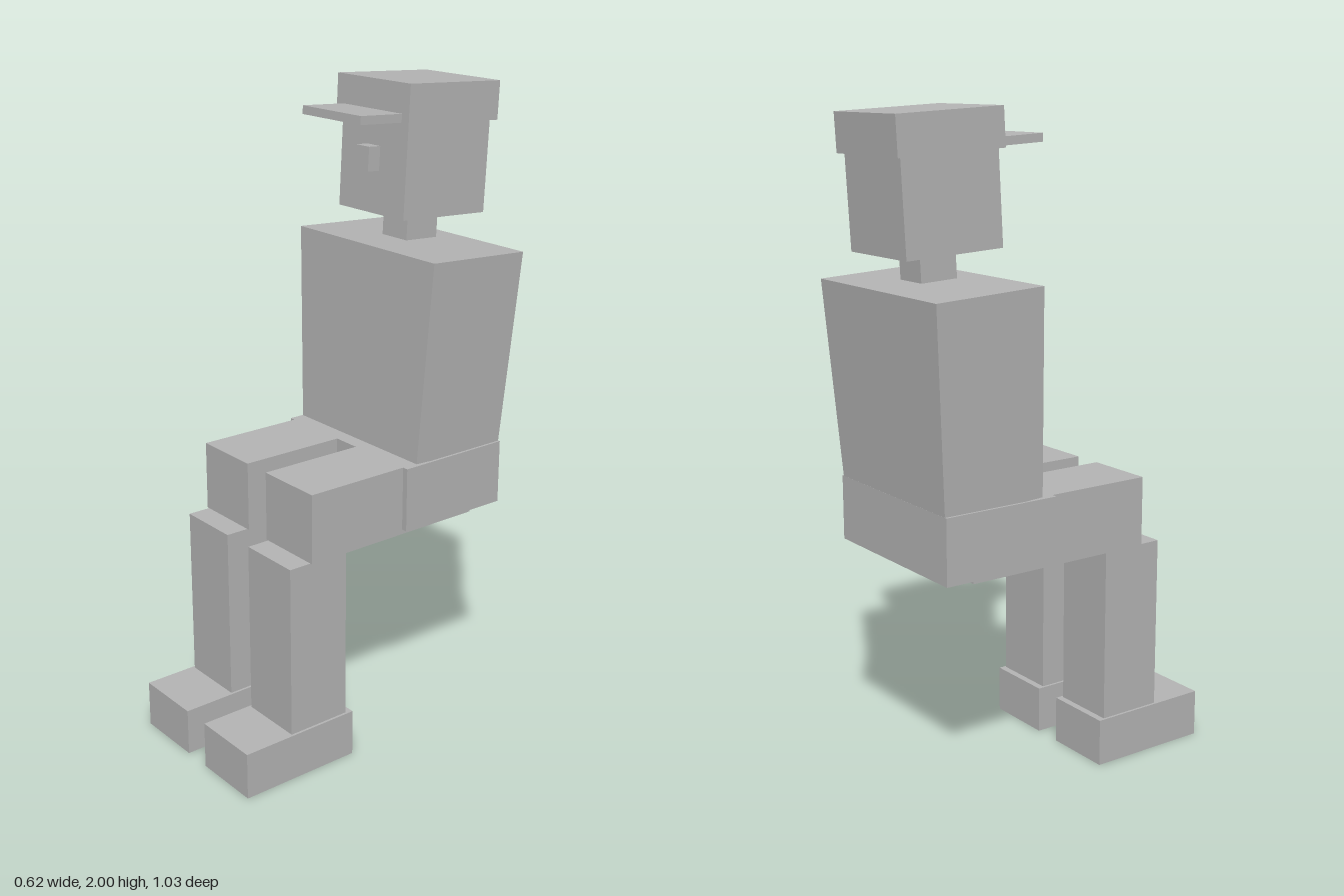
import * as THREE from 'three';

const LEAN = -0.0515; // backward tilt of the upper body

export function createModel() {
  const model = new THREE.Group();
  model.name = 'seatedFigure';
  const grey = new THREE.MeshStandardMaterial({ color: 0xb4b4b4 });
  grey.name = 'plain grey';

  // box by size and centre, optionally tilted about x
  function block(name, size, centre, tilt = 0) {
    const mesh = new THREE.Mesh(new THREE.BoxGeometry(...size), grey);
    mesh.name = name;
    mesh.position.set(...centre);
    mesh.rotation.x = tilt;
    model.add(mesh);
    return mesh;
  }

  // hips
  block('hips', [0.57, 0.2, 0.38], [0, 0.8, -0.26]);

  // torso, narrowing towards the waist
  const torso = block('torso', [0.62, 0.614, 0.355], [0, 1.201, -0.297], LEAN);
  const p = torso.geometry.attributes.position;
  for (let i = 0; i < p.count; i++) {
    if (p.getY(i) < 0) {
      p.setX(i, p.getX(i) * 0.893);
      p.setZ(i, p.getZ(i) * 0.945);
    }
  }
  torso.geometry.computeVertexNormals();

  // neck, head and nose
  block('neck', [0.11, 0.11, 0.12], [0, 1.572, -0.316], LEAN);
  block('head', [0.295, 0.3, 0.32], [0, 1.75, -0.326], LEAN);
  block('nose', [0.058, 0.072, 0.045], [0, 1.773, -0.147], LEAN);

  // cap
  block('capCrown', [0.325, 0.115, 0.35], [0, 1.934, -0.337], LEAN);
  block('capBrim', [0.264, 0.025, 0.155], [0, 1.905, -0.086], LEAN);

  // legs, bent at the knee
  for (const [side, s] of [['left', 1], ['right', -1]]) {
    const x = s * 0.156;
    block(side + 'Thigh', [0.221, 0.215, 0.62], [x, 0.7925, -0.038]);
    block(side + 'Shin', [0.205, 0.54, 0.205], [x, 0.415, 0.2425]);
    block(side + 'Foot', [0.221, 0.147, 0.395], [x, 0.0735, 0.316]);
  }

  return model;
}
